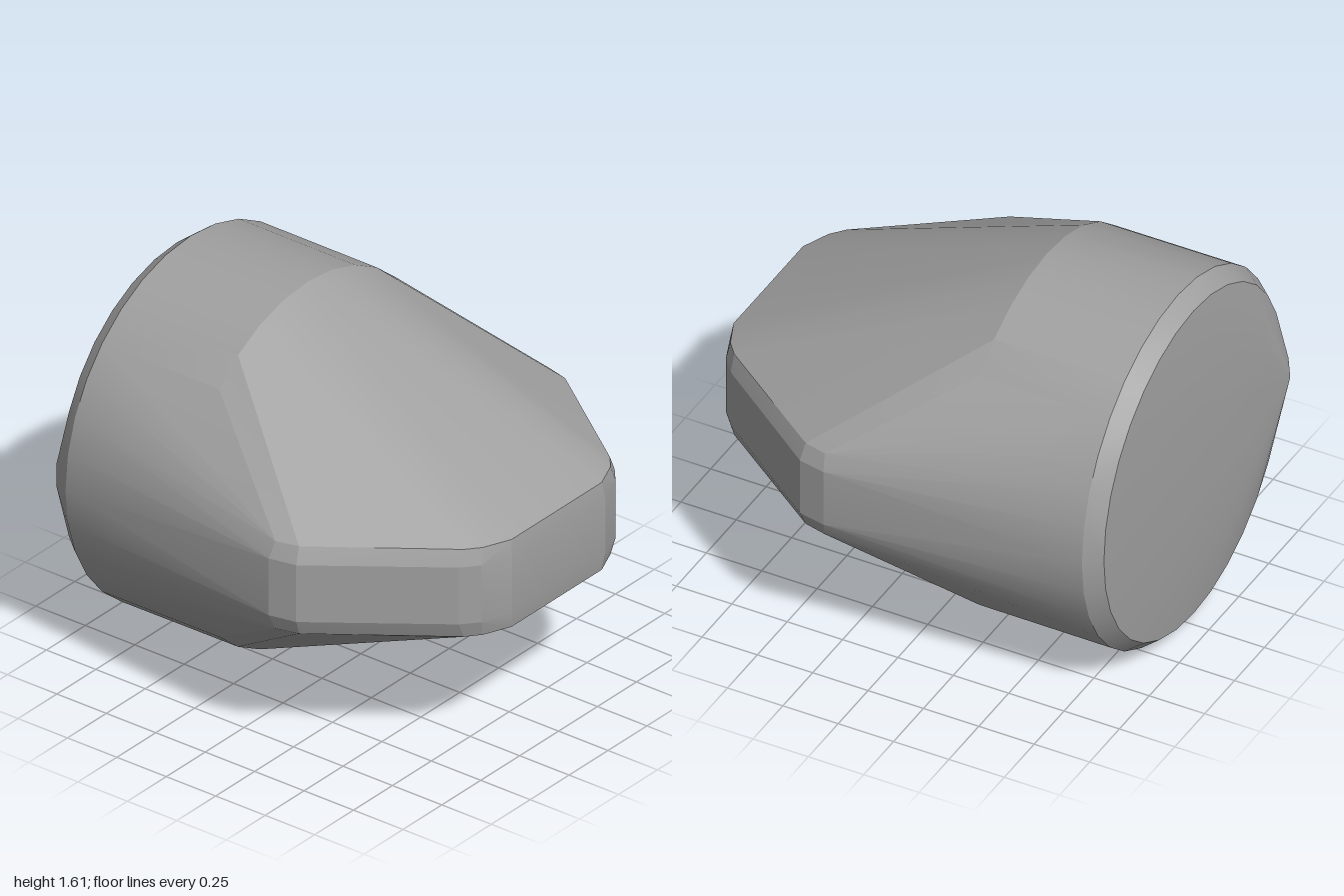
import * as THREE from 'three';
import { ConvexGeometry } from 'three/addons/geometries/ConvexGeometry.js';
import { toCreasedNormals } from 'three/addons/utils/BufferGeometryUtils.js';

const MID = 0.805; // height of the body's axis

export function createModel() {
  const group = new THREE.Group();
  group.name = 'taperedBody';
  const grey = new THREE.MeshStandardMaterial({ color: 0xa0a0a0 });
  grey.name = 'grey';

  const points = [];
  const add = (x, y, z) => points.push(new THREE.Vector3(x, y, z));

  // Round rear drum: front rim, back rim and chamfered end, as [z, radius]
  const segments = 32;
  for (const [z, r] of [[-0.27, 0.803], [-0.86, 0.805], [-0.93, 0.75]]) {
    for (let i = 0; i < segments; i++) {
      const a = (i / segments) * Math.PI * 2;
      add(Math.cos(a) * r, MID + Math.sin(a) * r, z);
    }
  }

  // Off-centre peak of the back cap
  add(-0.68, MID, -1);
  for (const s of [-1, 1]) add(-0.73, MID + s * 0.05, -0.965);

  // Angular front band: widest outline, then the bevelled upper and lower outlines
  const outer = [[0.91, 0.25], [0.885, 0.37], [0.5, 0.89], [0.43, 0.95], [0.3, 1]];
  const inner = [[0.88, 0.26], [0.855, 0.36], [0.47, 0.89], [0.41, 0.94], [0.29, 0.99]];
  for (const [outline, h] of [[outer, 0.13], [inner, 0.2]]) {
    for (const [x, z] of outline) {
      for (const sx of [-1, 1]) for (const sy of [-1, 1]) add(sx * x, MID + sy * h, z);
    }
  }

  // One convex skin wraps drum, cap and band
  const skin = toCreasedNormals(new ConvexGeometry(points), 0.22);
  const body = new THREE.Mesh(skin, grey);
  body.name = 'body';
  group.add(body);
  return group;
}
